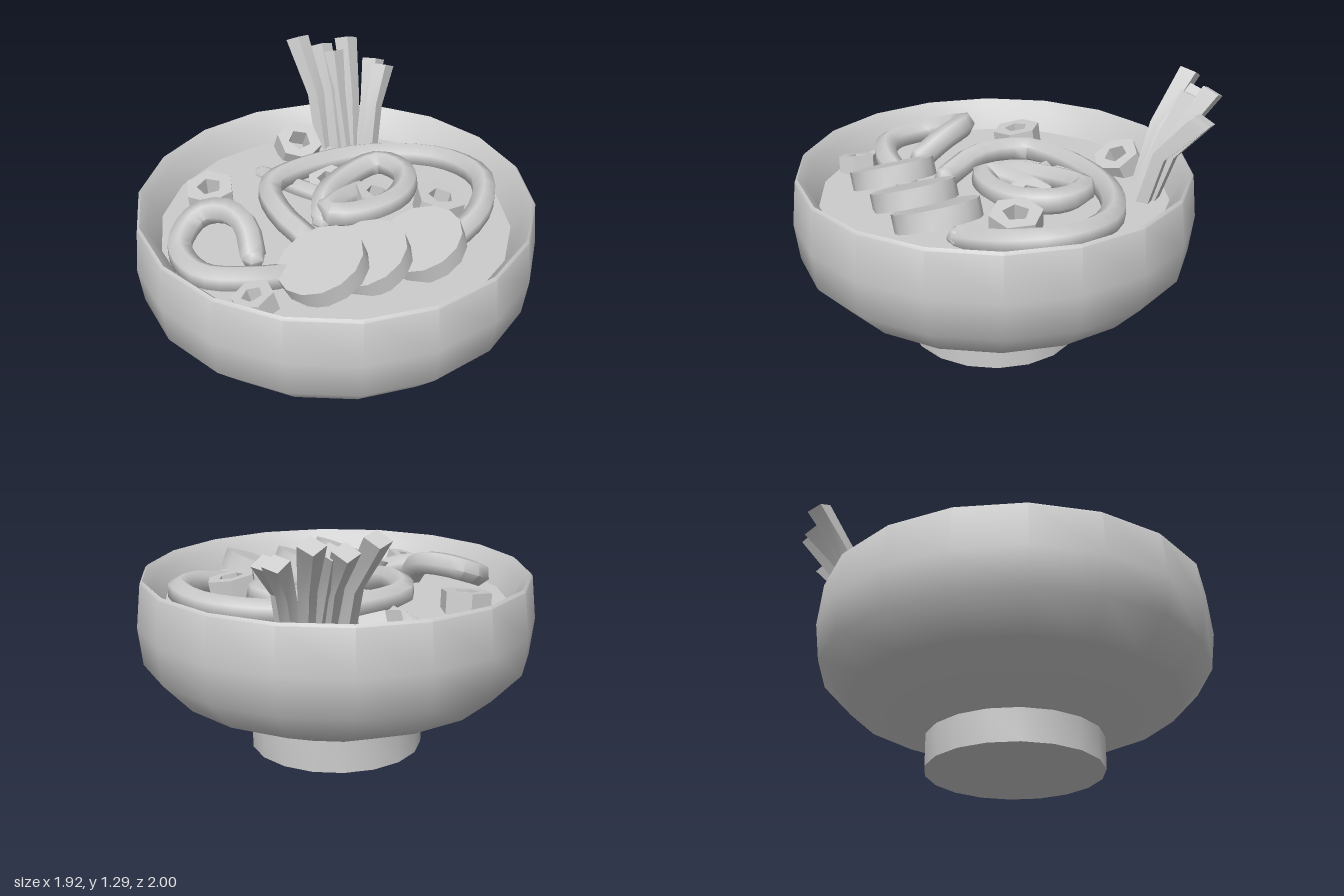
import * as THREE from 'three';
import { toCreasedNormals } from 'three/addons/utils/BufferGeometryUtils.js';

const clay = new THREE.MeshStandardMaterial({ color: 0xcccccc });
clay.name = 'plain grey';

const v3 = (p) => new THREE.Vector3(...p);

function part(name, geometry, crease = 0.7) {
  const mesh = new THREE.Mesh(toCreasedNormals(geometry, crease), clay);
  mesh.name = name;
  return mesh;
}

// Six-sided noodle along a smooth path, with rounded ends
function noodle(name, points, radius = 0.062) {
  const curve = new THREE.CatmullRomCurve3(points.map(v3));
  const group = new THREE.Group();
  group.name = name;
  group.add(part(name + 'Strand', new THREE.TubeGeometry(curve, points.length * 3, radius, 6), 1.1));
  for (const t of [0, 1]) {
    const end = part(name + 'End', new THREE.SphereGeometry(radius * 0.95, 6, 4), 1.1);
    end.position.copy(curve.getPoint(t));
    group.add(end);
  }
  return group;
}

// Hexagonal onion ring with a small hole, lying on its side faces
function onionRing(x, y, z, radius, tiltX, tiltZ, spin) {
  const polygon = (r, n) => Array.from({ length: n }, (_, i) => {
    const a = (i / n) * Math.PI * 2 + spin;
    return new THREE.Vector2(Math.cos(a) * r, Math.sin(a) * r);
  });
  const shape = new THREE.Shape(polygon(radius, 6));
  shape.holes.push(new THREE.Path(polygon(radius * 0.5, 5)));
  const geo = new THREE.ExtrudeGeometry(shape, { depth: 0.11, bevelEnabled: false });
  geo.translate(0, 0, -0.055).rotateX(-Math.PI / 2);
  const mesh = part('onionRing', geo, 0.3);
  mesh.position.set(x, y, z);
  mesh.rotation.set(tiltX, 0, tiltZ);
  return mesh;
}

// Bent square stalk lofted through three square sections
function stalk(base, bend, tip, widths) {
  const path = [base, bend, tip].map(v3);
  const pos = [];
  const axis = path[2].clone().sub(path[0]).normalize();
  const side = new THREE.Vector3(0.85, 0, -0.5);
  side.addScaledVector(axis, -side.dot(axis)).normalize();
  const up = new THREE.Vector3().crossVectors(axis, side);
  path.forEach((p, i) => {
    for (const [a, b] of [[1, 1], [-1, 1], [-1, -1], [1, -1]]) {
      const c = p.clone().addScaledVector(side, a * widths[i] / 2).addScaledVector(up, b * widths[i] / 2);
      pos.push(c.x, c.y, c.z);
    }
  });
  const index = [8, 9, 10, 8, 10, 11, 0, 2, 1, 0, 3, 2];
  for (let r = 0; r < 8; r += 4) {
    for (let i = 0; i < 4; i++) {
      const a = r + i, b = r + (i + 1) % 4;
      index.push(a, b, b + 4, a, b + 4, a + 4);
    }
  }
  const geo = new THREE.BufferGeometry();
  geo.setAttribute('position', new THREE.Float32BufferAttribute(pos, 3));
  geo.setIndex(index);
  return part('stalk', geo, 0.5);
}

export function createModel() {
  const model = new THREE.Group();
  model.name = 'noodleBowl';

  // Bowl with foot, rim and inner wall
  const profile = [
    [0, 0], [0.43, 0], [0.43, 0.16], [0.81, 0.328], [0.952, 0.48], [0.974, 0.665],
    [0.952, 0.88], [0.94, 0.893], [0.9, 0.85], [0.84, 0.73],
  ].map(([r, y]) => new THREE.Vector2(r, y));
  const bowl = part('bowl', new THREE.LatheGeometry(profile, 18));
  bowl.position.z = 0.017;
  model.add(bowl);

  // Broth surface
  const broth = part('broth', new THREE.CircleGeometry(0.855, 18, Math.PI / 2).rotateX(-Math.PI / 2));
  broth.position.set(0, 0.745, 0.017);
  model.add(broth);

  // Noodles
  model.add(
    noodle('largeNoodle', [
      [-0.2, 0.78, 0.17], [-0.26, 0.83, -0.05], [-0.19, 0.83, -0.31], [0.15, 0.82, -0.4],
      [0.47, 0.82, -0.33], [0.71, 0.83, -0.13], [0.76, 0.84, 0.13], [0.61, 0.81, 0.34], [0.38, 0.76, 0.44],
    ]),
    noodle('innerNoodle', [
      [0.2, 0.78, -0.12], [0.02, 0.81, -0.04], [-0.05, 0.82, 0.04], [0.1, 0.82, 0.1], [0.32, 0.83, 0.07],
      [0.44, 0.84, -0.08], [0.38, 0.84, -0.24], [0.16, 0.82, -0.21], [-0.02, 0.81, -0.08], [-0.06, 0.76, 0.0],
    ]),
    noodle('sideNoodle', [
      [-0.49, 0.78, 0.15], [-0.47, 0.87, 0.02], [-0.52, 0.89, -0.11], [-0.63, 0.86, -0.17],
      [-0.77, 0.8, -0.06], [-0.76, 0.79, 0.18], [-0.57, 0.79, 0.31], [-0.3, 0.75, 0.34],
    ]),
    noodle('sunkenNoodle', [
      [-0.13, 0.73, -0.56], [-0.08, 0.76, -0.4], [0.02, 0.76, -0.22], [0.22, 0.74, -0.02],
    ], 0.05),
    noodle('backNoodle', [[0.22, 0.71, -0.5], [0.3, 0.73, -0.46], [0.42, 0.72, -0.4]], 0.045),
  );

  // Overlapping tilted round slices
  for (const [x, y, z, r] of [[-0.27, 0.835, 0.425, 0.205], [-0.05, 0.805, 0.43, 0.205], [0.22, 0.815, 0.46, 0.205]]) {
    const slice = part('roundSlice', new THREE.CylinderGeometry(r, r, 0.09, 14));
    slice.position.set(x, y, z);
    slice.rotation.z = 0.38;
    model.add(slice);
  }

  // Onion rings scattered in the broth
  for (const ring of [
    [-0.47, 0.78, -0.43, 0.125, 0.1, 0.1, 0.2],
    [0.12, 0.79, -0.66, 0.12, 0.5, 0, 0.5],
    [0.47, 0.81, 0.2, 0.125, 0.1, -0.15, 0.15],
    [-0.61, 0.76, 0.45, 0.1, -0.1, 0.25, 0.4],
    [0.11, 0.75, -0.28, 0.11, 0.2, 0.1, 0.1],
    [0.24, 0.77, -0.03, 0.11, 0.15, -0.2, 0.3],
  ]) model.add(onionRing(...ring));

  // Cluster of stalks leaning over the back rim
  const stalks = new THREE.Group();
  stalks.name = 'stalkCluster';
  const w = [0.06, 0.062, 0.085];
  stalks.add(
    stalk([0.28, 0.72, -0.66], [0.28, 1.02, -0.76], [0.27, 1.26, -0.96], w),
    stalk([0.34, 0.72, -0.62], [0.36, 1.02, -0.74], [0.39, 1.21, -0.92], w),
    stalk([0.38, 0.72, -0.6], [0.39, 0.99, -0.71], [0.42, 1.2, -0.84], w),
    stalk([0.42, 0.72, -0.6], [0.46, 1.0, -0.7], [0.52, 1.24, -0.88], w),
    stalk([0.47, 0.72, -0.57], [0.53, 0.98, -0.63], [0.62, 1.15, -0.75], w),
    stalk([0.48, 0.72, -0.52], [0.53, 0.98, -0.57], [0.64, 1.14, -0.68], w),
  );
  model.add(stalks);

  return model;
}
